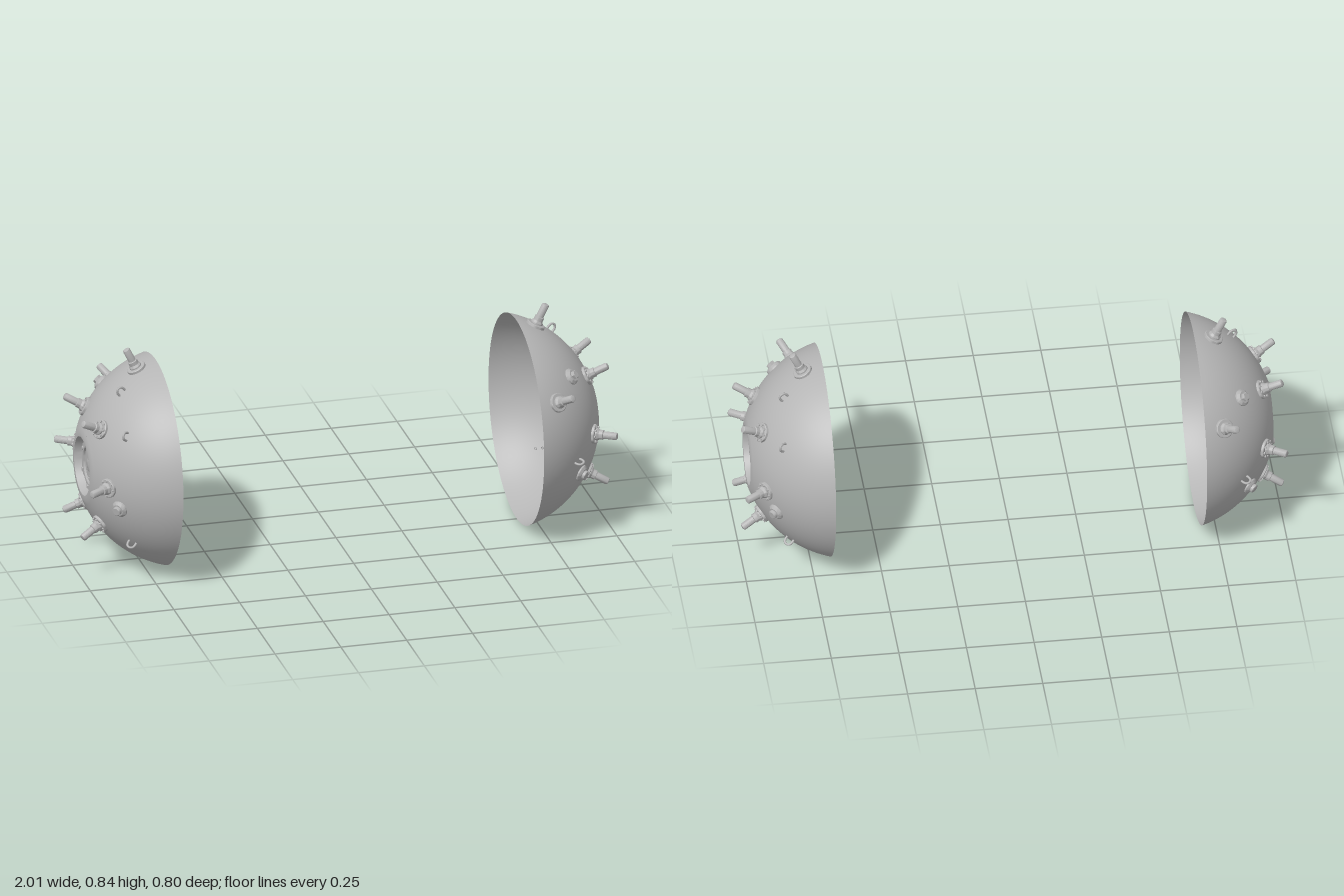
import * as THREE from 'three';
import { toCreasedNormals } from 'three/addons/utils/BufferGeometryUtils.js';

const R = 0.409;       // sphere radius of the shell
const CENTRE = 0.577;  // sphere centre along the dome axis
const RIM = 0.394;     // radius of the open rim
const rad = THREE.MathUtils.degToRad;

const metal = new THREE.MeshStandardMaterial({ color: 0xb5b5b5, side: THREE.DoubleSide });
metal.name = 'grey metal';

function mesh(name, geometry, parent) {
  const m = new THREE.Mesh(geometry, metal);
  m.name = name;
  parent.add(m);
  return m;
}

// Turned part about y, profile listed from bottom to top, crisp edges kept
function turned(points, sides = 32) {
  const g = new THREE.LatheGeometry(points.map(([r, y]) => new THREE.Vector2(r, y)), sides);
  return toCreasedNormals(g, 0.5);
}

// Group on the sphere: y points outward, x points away from the pole
function mount(name, parent, phiDeg, thetaDeg) {
  const p = rad(phiDeg), t = rad(thetaDeg);
  const out = new THREE.Vector3(Math.sin(t) * Math.cos(p), Math.sin(t) * Math.sin(p), Math.cos(t));
  const away = new THREE.Vector3(Math.cos(t) * Math.cos(p), Math.cos(t) * Math.sin(p), -Math.sin(t));
  const side = new THREE.Vector3().crossVectors(away, out);
  const g = new THREE.Group();
  g.name = name;
  g.quaternion.setFromRotationMatrix(new THREE.Matrix4().makeBasis(away, out, side));
  g.position.copy(out).multiplyScalar(R).add(new THREE.Vector3(0, 0, CENTRE));
  parent.add(g);
  return g;
}

function boltRing(parent, count, radius, size, y0, y1, start = 0) {
  for (let i = 0; i < count; i++) {
    const a = start + (i / count) * Math.PI * 2;
    const b = mesh('bolt', toCreasedNormals(new THREE.CylinderGeometry(size, size, y1 - y0, 6), 0.5), parent);
    b.position.set(Math.cos(a) * radius, (y0 + y1) / 2, Math.sin(a) * radius);
  }
}

// Contact horn: flange, tapered collar and round-ended pin
function addHorn(parent, phi, theta, bolted) {
  const g = mount('horn', parent, phi, theta);
  mesh('hornFlange', turned([[0.036, -0.004], [0.036, 0.007], [0.033, 0.009], [0, 0.009]]), g);
  mesh('hornCollar', turned([
    [0.023, 0.008], [0.023, 0.014], [0.018, 0.022], [0.018, 0.036], [0.014, 0.038],
  ]), g);
  mesh('hornPin', turned([
    [0.014, 0.036], [0.014, 0.083], [0.0125, 0.0875], [0.008, 0.09], [0, 0.091],
  ], 20), g);
  if (bolted) boltRing(g, 8, 0.029, 0.0045, -0.004, 0.014);
}

// Filler plug: bevelled disc with a hexagonal or round head
function addPlug(parent, phi, theta, headSides) {
  const g = mount('plug', parent, phi, theta);
  mesh('plugDisc', turned([[0.032, -0.004], [0.031, 0.004], [0.022, 0.012], [0, 0.012]]), g);
  mesh('plugHead', turned([[0.017, 0.011], [0.017, 0.022], [0.014, 0.024], [0, 0.024]], headSides), g);
}

// Lifting eye: a half hoop on two short legs
function addEye(parent, phi, theta, spin) {
  const g = mount('liftingEye', parent, phi, theta);
  const w = 0.014, pts = [[-w, -0.005], [-w, 0.012], [-w * 0.7, 0.022], [0, 0.026], [w * 0.7, 0.022], [w, 0.012], [w, -0.005]];
  const curve = new THREE.CatmullRomCurve3(pts.map(([x, y]) => new THREE.Vector3(x, y, 0)));
  mesh('eyeHoop', new THREE.TubeGeometry(curve, 24, 0.0045, 8), g).rotation.y = rad(spin);
}

// Recessed hub cover, built along y
function addHub(parent) {
  const hub = new THREE.Group();
  hub.name = 'hub';
  hub.rotation.x = Math.PI / 2;
  parent.add(hub);
  const floor = 0.935;
  mesh('hubRing', turned([
    [0.143, 0.9602], [0.126, 0.967], [0.11, 0.967], [0.102, floor], [0, floor],
  ], 64), hub);

  // scalloped cover with a shallow centre
  const shape = new THREE.Shape();
  for (let i = 0; i < 96; i++) {
    const a = (i / 96) * Math.PI * 2;
    const r = 0.09 + 0.006 * Math.tanh(3 * Math.cos(6 * (a - Math.PI / 2)));
    shape[i ? 'lineTo' : 'moveTo'](r * Math.cos(a), r * Math.sin(a));
  }
  shape.closePath();
  shape.holes.push(new THREE.Path().absarc(0, 0, 0.071, 0, Math.PI * 2, true));
  const cover = new THREE.ExtrudeGeometry(shape, { depth: 0.008, bevelEnabled: false, curveSegments: 24 });
  const ring = mesh('hubCover', toCreasedNormals(cover, 0.5), hub);
  ring.rotation.x = -Math.PI / 2;
  ring.position.y = floor;
  boltRing(hub, 6, 0.083, 0.007, floor, floor + 0.013, Math.PI / 2);
  mesh('hubCap', turned([[0.025, floor], [0.025, floor + 0.006], [0.021, floor + 0.008], [0, floor + 0.008]]), hub);

  // two small grips
  for (const s of [-1, 1]) {
    const grip = mesh('hubGrip', new THREE.TorusGeometry(0.009, 0.0025, 8, 16, Math.PI), hub);
    grip.position.set(0, floor, s * 0.048);
  }
}

function buildHalf(name) {
  const half = new THREE.Group();
  half.name = name;

  // spherical shell from the open rim up to the hub
  const t0 = Math.asin(RIM / R), t1 = Math.asin(0.143 / R), profile = [];
  for (let i = 0; i <= 24; i++) {
    const t = t0 + (t1 - t0) * (i / 24);
    profile.push(new THREE.Vector2(R * Math.sin(t), CENTRE + R * Math.cos(t)));
  }
  mesh('shell', new THREE.LatheGeometry(profile, 96), half).rotation.x = Math.PI / 2;
  addHub(half);

  for (let i = 0; i < 6; i++) addHorn(half, i * 60 - 1, 32, true);
  addHorn(half, 90, 63.5, false);
  addHorn(half, 149.5, 63.5, false);

  addPlug(half, 131, 50, 6);
  addPlug(half, 205, 46, 24);
  addPlug(half, -17, 40, 24);

  addEye(half, 76, 51, 20);
  addEye(half, 41, 47, 65);
  addEye(half, 190, 51, 10);
  addEye(half, -45, 51, 15);
  return half;
}

export function createModel() {
  const model = new THREE.Group();
  model.name = 'splitSphere';
  for (const s of [1, -1]) {
    const half = buildHalf(s > 0 ? 'leftHalf' : 'rightHalf');
    half.rotation.y = s * Math.PI / 2;
    half.position.set(0, RIM, -s * 0.0065);
    model.add(half);
  }
  return model;
}
